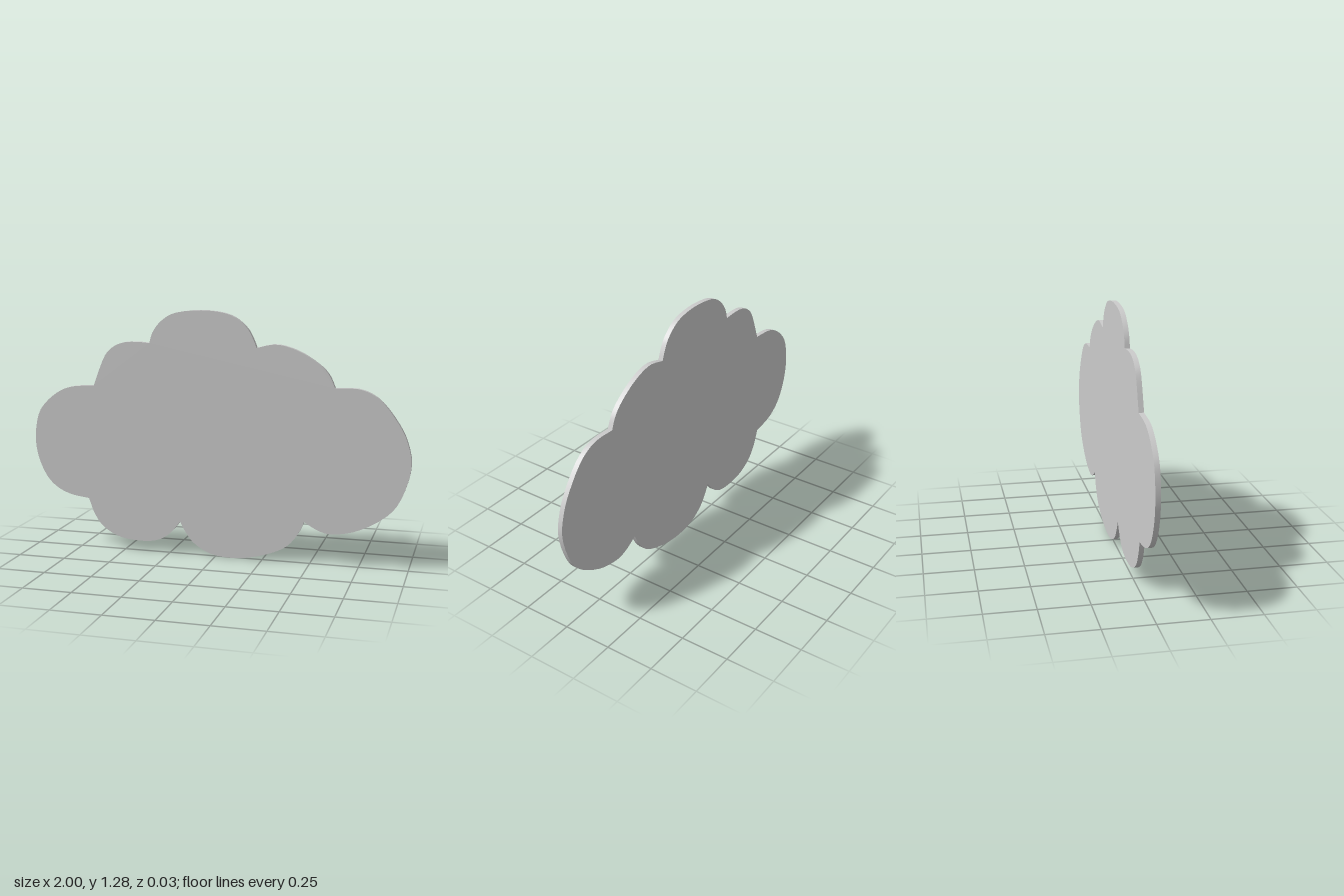
import * as THREE from 'three';
import { toCreasedNormals } from 'three/addons/utils/BufferGeometryUtils.js';

const THICKNESS = 0.025;

// Each lobe runs clockwise from one notch to the next; the last point is the notch.
const START = [-0.35, 1.11];
const LOBES = [
  // top
  [[-0.33, 1.17], [-0.28, 1.23], [-0.2, 1.27], [-0.05, 1.283], [0.08, 1.262], [0.16, 1.205], [0.195, 1.15], [0.215, 1.1]],
  // upper right
  [[0.32, 1.12], [0.43, 1.09], [0.53, 1.03], [0.585, 0.975], [0.615, 0.91]],
  // right end
  [[0.74, 0.91], [0.84, 0.86], [0.93, 0.75], [0.98, 0.65], [1, 0.53], [0.96, 0.38], [0.89, 0.28], [0.75, 0.195],
    [0.62, 0.165], [0.54, 0.18], [0.47, 0.22]],
  // bottom
  [[0.43, 0.14], [0.36, 0.07], [0.23, 0.02], [0.1, 0], [-0.02, 0.012], [-0.11, 0.06], [-0.16, 0.12], [-0.19, 0.175]],
  // lower left
  [[-0.25, 0.105], [-0.32, 0.065], [-0.42, 0.055], [-0.53, 0.07], [-0.62, 0.12], [-0.67, 0.19], [-0.7, 0.27]],
  // left end
  [[-0.8, 0.285], [-0.88, 0.32], [-0.94, 0.38], [-0.985, 0.48], [-1, 0.59], [-0.98, 0.71], [-0.935, 0.78],
    [-0.86, 0.84], [-0.78, 0.87], [-0.66, 0.88]],
  // upper left
  [[-0.6, 1.03], [-0.55, 1.085], [-0.49, 1.11], [-0.42, 1.115], START],
];

export function createModel() {
  const group = new THREE.Group();
  group.name = 'cloud';

  // Scalloped outline: one smooth spline per lobe, sharp at the notches
  const outline = new THREE.Shape();
  outline.moveTo(...START);
  for (const lobe of LOBES) outline.splineThru(lobe.map(([x, y]) => new THREE.Vector2(x, y)));

  // Thin flat panel with a smooth rim
  const geometry = new THREE.ExtrudeGeometry(outline, { depth: THICKNESS, bevelEnabled: false, curveSegments: 3 });
  geometry.translate(0, 0, -THICKNESS / 2);
  const panel = new THREE.Mesh(
    toCreasedNormals(geometry, Math.PI / 6),
    new THREE.MeshStandardMaterial({ color: 0xcccccc })
  );
  panel.name = 'cloudPanel';
  group.add(panel);
  return group;
}
